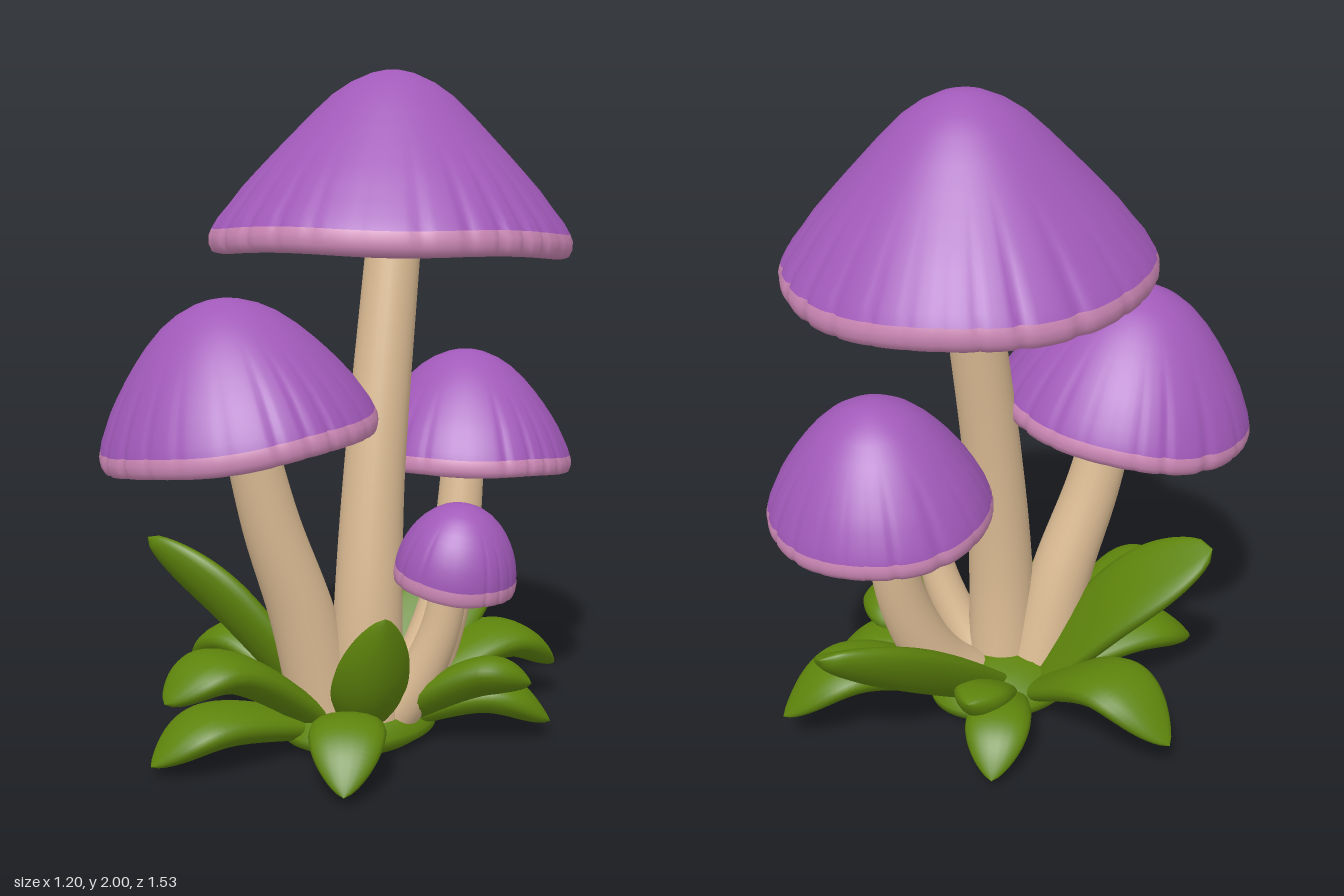
import * as THREE from 'three';
import { mergeVertices } from 'three/addons/utils/BufferGeometryUtils.js';

const V = (x, y, z) => new THREE.Vector3(x, y, z);
const UP = V(0, 1, 0);
const material = (name, color) => {
  const m = new THREE.MeshStandardMaterial({ color });
  m.name = name;
  return m;
};

// Closed loft along a curve; ring(t) gives half width, half thickness and edge fold
function loft(curve, side, steps, sides, ring) {
  const pos = [], index = [];
  for (let i = 0; i <= steps; i++) {
    const t = i / steps, p = curve.getPoint(t), T = curve.getTangent(t);
    const N = T.clone().cross(side).normalize(), S = N.clone().cross(T);
    const [w, th, fold] = ring(t);
    for (let j = 0; j < sides; j++) {
      const a = (j / sides) * Math.PI * 2, c = Math.cos(a);
      const q = p.clone().addScaledVector(S, c * w).addScaledVector(N, Math.sin(a) * th + fold * c * c);
      pos.push(q.x, Math.max(0.004, q.y), q.z);
      if (i < steps) {
        const k = i * sides, n = (j + 1) % sides;
        index.push(k + j, k + n, k + sides + j, k + n, k + sides + n, k + sides + j);
      }
    }
  }
  // end caps
  const last = steps * sides;
  for (let j = 1; j < sides - 1; j++) index.push(0, j + 1, j, last, last + j, last + j + 1);
  const g = new THREE.BufferGeometry();
  g.setAttribute('position', new THREE.Float32BufferAttribute(pos, 3));
  g.setIndex(index);
  g.computeVertexNormals();
  return g;
}

// Revolved surface moved by a rule, with seamless smooth normals
function revolve(points, rule) {
  let g = new THREE.LatheGeometry(points.map(([r, y]) => new THREE.Vector2(r, y)), 192);
  const p = g.attributes.position, v = V(0, 0, 0);
  for (let i = 0; i < p.count; i++) {
    v.fromBufferAttribute(p, i);
    rule(v, Math.atan2(v.z, v.x), Math.hypot(v.x, v.z));
    p.setXYZ(i, v.x, v.y, v.z);
  }
  g.deleteAttribute('uv');
  g.deleteAttribute('normal');
  g = mergeVertices(g, 1e-4);
  g.computeVertexNormals();
  return g;
}

// Dome half-widths by height, blended between pointed and round
const POINTED = [[0.99, 0.13], [0.95, 0.19], [0.88, 0.265], [0.8, 0.36], [0.71, 0.45], [0.61, 0.55],
  [0.51, 0.65], [0.41, 0.755], [0.305, 0.86], [0.21, 0.93], [0.11, 0.98], [0.05, 0.996], [0, 1]];

function makeCap({ r, h, sz, round, band, folds }, mats) {
  const cap = new THREE.Group();
  const groove = a => Math.pow(Math.abs(Math.cos(a * folds / 2 + 0.9 * Math.sin(3 * a) + 0.6 * Math.sin(5 * a))), 16)
    * (0.6 + 0.4 * Math.sin(4 * a + 1));
  const pleat = (v, a, d) => {
    const w = THREE.MathUtils.smoothstep(d / r, 0.55, 1);
    const f = 1 - 0.024 * w * groove(a);
    v.x *= f;
    v.z *= f * sz;
    v.y += 0.008 * r * w * Math.sin(5 * a + 1);
  };
  const dome = POINTED.map(([x, y]) => {
    const u = (y - 0.13) / 0.87;
    const oval = 0.99 * Math.sqrt(Math.max(0, 1 - u * u));
    return [r * THREE.MathUtils.lerp(x, oval, round), band + u * (h - band)];
  });
  const rim = [[0.93, 0.1], [0.955, 0], [0.985, 0.06], [1.003, 0.35], [1.005, 0.7], [0.99, 1]]
    .map(([x, y]) => [x * r, y * band]);
  const under = [[0, 0.19], [0.12, 0.185], [0.35, 0.16], [0.6, 0.115], [0.8, 0.06], [0.93, 0.1 * band / r]]
    .map(([x, y]) => [x * r, y * r]);
  const gills = (v, a, d) => {
    const w = THREE.MathUtils.smoothstep(d / r, 0.08, 0.4) * (1 - THREE.MathUtils.smoothstep(d / r, 0.8, 0.93));
    v.y += 0.025 * r * w * Math.pow(Math.abs(Math.cos(a * 14 + 0.5 * Math.sin(4 * a))), 16);
    pleat(v, a, d);
  };
  const parts = [['capDome', dome, pleat, mats.purple], ['capRim', rim, pleat, mats.pink], ['capGills', under, gills, mats.pink]];
  for (const [name, pts, rule, mat] of parts) {
    const m = new THREE.Mesh(revolve(pts, rule), mat);
    m.name = name;
    cap.add(m);
  }
  return cap;
}

export function createModel() {
  const model = new THREE.Group();
  model.name = 'mushroomCluster';
  const mats = {
    purple: material('capPurple', 0xa159b9),
    pink: material('rimPink', 0xcd88b6),
    stem: material('stemTan', 0xdcbc94),
    leaf: material('leafGreen', 0x5e840c),
  };

  // Mushrooms: cap size, cap seat, cap axis, stem path and stem radii
  const mushrooms = [
    { name: 'tallMushroom', r: 0.532, h: 0.535, sz: 1, round: 0.13, band: 0.07, folds: 28,
      at: [0.063, 1.465, -0.12], axis: [-0.02, 1, -0.04], radii: [0.115, 0.08],
      path: [[0.12, 0.03, 0.02], [0.125, 0.4, 0.02], [0.11, 0.8, -0.015], [0.073, 1.56, -0.133]] },
    { name: 'frontMushroom', r: 0.408, h: 0.425, sz: 0.95, round: 0.47, band: 0.058, folds: 24,
      at: [-0.02, 0.937, 0.379], axis: [-0.1, 1, 0.12], radii: [0.11, 0.073],
      path: [[0.03, 0.03, 0.09], [0.015, 0.4, 0.18], [-0.01, 0.7, 0.28], [-0.03, 1.02, 0.36]] },
    { name: 'backMushroom', r: 0.34, h: 0.375, sz: 0.96, round: 0.5, band: 0.052, folds: 22,
      at: [0.08, 0.785, -0.432], axis: [-0.06, 1, -0.08], radii: [0.1, 0.065],
      path: [[0.1, 0.03, -0.1], [0.1, 0.2, -0.25], [0.1, 0.45, -0.36], [0.085, 0.85, -0.43]] },
    { name: 'smallMushroom', r: 0.18, h: 0.245, sz: 1, round: 0.85, band: 0.045, folds: 14,
      at: [0.33, 0.515, -0.132], axis: [0.17, 1, 0], radii: [0.08, 0.05],
      path: [[0.12, 0.03, -0.01], [0.21, 0.15, -0.06], [0.29, 0.35, -0.11], [0.33, 0.56, -0.13]] },
  ];
  for (const s of mushrooms) {
    const group = new THREE.Group();
    group.name = s.name;
    const cap = makeCap(s, mats);
    cap.name = 'cap';
    cap.position.set(...s.at);
    cap.quaternion.setFromUnitVectors(UP, V(...s.axis).normalize());
    const curve = new THREE.CatmullRomCurve3(s.path.map(p => V(...p)));
    const stem = new THREE.Mesh(loft(curve, V(1, 0, 0), 24, 24, t => {
      const w = THREE.MathUtils.lerp(s.radii[0], s.radii[1], t);
      return [w, w, 0];
    }), mats.stem);
    stem.name = 'stem';
    group.add(cap, stem);
    model.add(group);
  }

  // Leaves: tip, height of the bend, how far out the bend is, half width, edge fold, roll, tip bluntness
  const leaves = [
    [[-0.41, 0.61, 0.44], 0.4, 0.55, 0.135, 0.03, 0.6, 0.5],
    [[-0.6, 0.12, 0.14], 0.225, 0.62, 0.125, 0.01, 0, 0.75],
    [[0.0, 0.25, 0.67], 0.305, 0.7, 0.12, 0.01, 0, 0.65],
    [[-0.09, 0.035, 0.66], 0.115, 0.68, 0.115, 0.01, 0, 0.75],
    [[-0.34, 0.03, -0.33], 0.11, 0.62, 0.1, 0.01, 0, 0.75],
    [[0.42, 0.03, 0.38], 0.13, 0.62, 0.11, 0.01, 0, 0.75],
    [[0.37, 0.48, 0.18], 0.22, 0.55, 0.115, 0.04, 0, 0.75],
    [[0.51, 0.22, -0.28], 0.23, 0.72, 0.12, 0.01, -0.35, 0.7],
    [[0.46, 0.05, -0.43], 0.14, 0.65, 0.11, 0.01, 0, 0.75],
    [[-0.08, 0.48, -0.74], 0.29, 0.55, 0.14, 0.03, 0.6, 0.5],
    [[0.21, 0.1, -0.74], 0.22, 0.68, 0.12, 0.01, 0, 0.75],
    [[-0.2, 0.22, -0.32], 0.15, 0.6, 0.09, 0.02, 0, 0.75],
  ];
  const foliage = new THREE.Group();
  foliage.name = 'foliage';
  for (const [tip, bend, out, w, fold, roll, blunt] of leaves) {
    const end = V(...tip), root = V(0.04, 0.035, 0);
    const dir = V(end.x - root.x, 0, end.z - root.z).normalize();
    root.addScaledVector(dir, 0.07);
    const mid = root.clone().lerp(end, out).setY(bend);
    const side = UP.clone().cross(dir).applyAxisAngle(dir, roll);
    const geometry = loft(new THREE.CatmullRomCurve3([root, mid, end]), side, 28, 18, t => {
      const f = Math.pow(Math.max(1e-5, Math.sin(Math.PI * (0.13 + 0.87 * Math.pow(t, 1.2)))), blunt);
      return [w * f, 0.058 * f, fold * f];
    });
    const leaf = new THREE.Mesh(geometry, mats.leaf);
    leaf.name = 'leaf';
    foliage.add(leaf);
  }

  // Low mound where the leaves meet the ground
  const mound = new THREE.Mesh(revolve([[0, 0], [0.75, 0], [0.95, 0.03], [0.98, 0.06], [0.85, 0.1], [0.5, 0.14], [0, 0.15]],
    v => { v.x *= 0.21; v.z *= 0.27; }), mats.leaf);
  mound.name = 'leafBase';
  mound.position.set(0.06, 0, -0.01);
  foliage.add(mound);
  model.add(foliage);
  return model;
}
